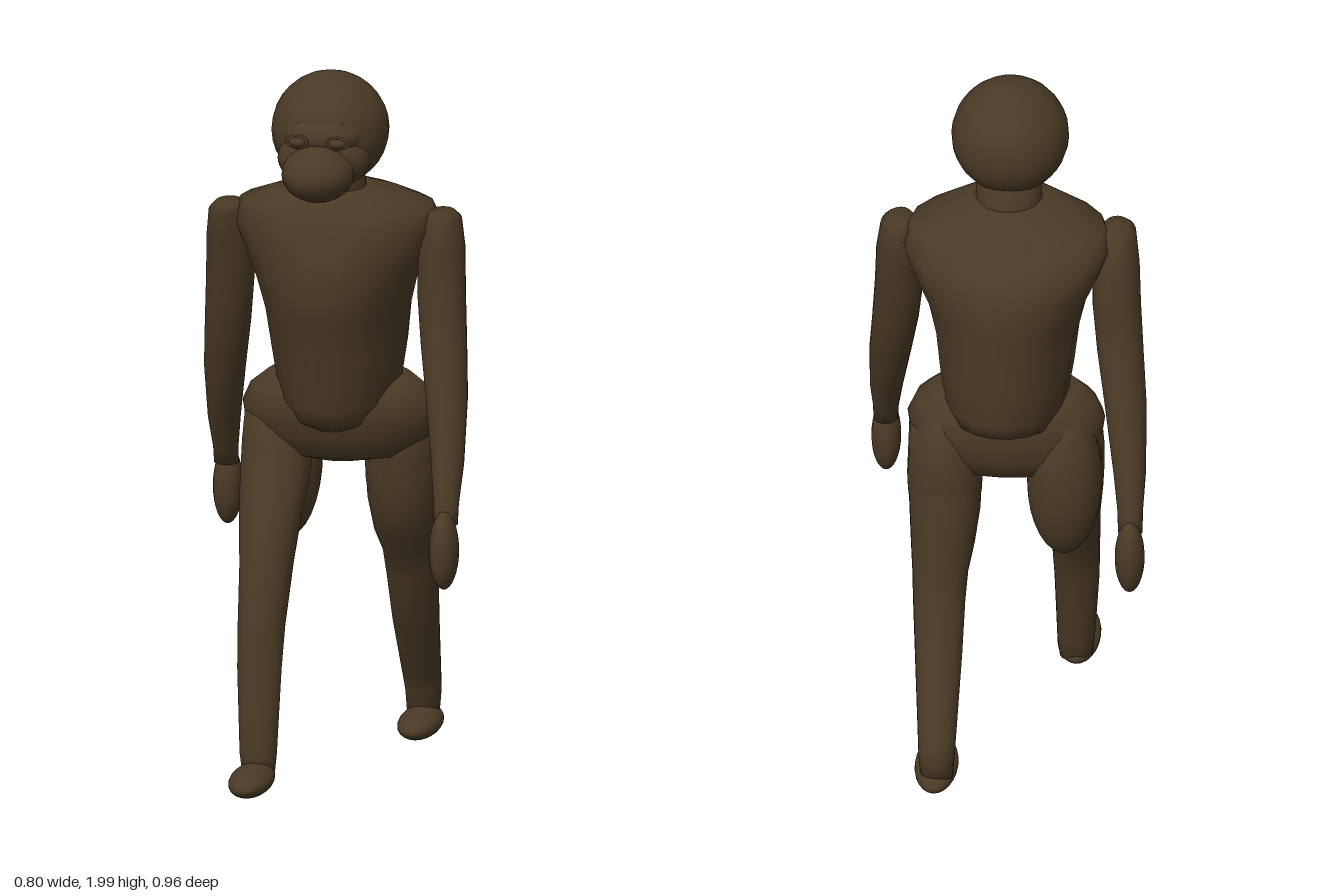
import * as THREE from 'three';

const fur = new THREE.MeshStandardMaterial({ color: 0x4a3a25 });
fur.name = 'dark brown fur';

// Closed body of elliptical sections [y, xc, rx, zc, rz], listed bottom to top.
// tilt lowers the front of a section: optional sixth value.
function loft(name, sections, sides = 20) {
  const pos = [], idx = [];
  for (const [y, xc, rx, zc, rz, tilt = 0] of sections) {
    for (let j = 0; j < sides; j++) {
      const a = (j / sides) * Math.PI * 2;
      pos.push(xc + rx * Math.cos(a), y - tilt * Math.sin(a), zc + rz * Math.sin(a));
    }
  }
  const last = sections.length - 1;
  for (let i = 0; i < last; i++) {
    for (let j = 0; j < sides; j++) {
      const a = i * sides + j, b = i * sides + ((j + 1) % sides);
      idx.push(a, a + sides, b, b, a + sides, b + sides);
    }
  }
  // end caps
  const bottom = pos.length / 3, top = bottom + 1;
  for (const s of [sections[0], sections[last]]) pos.push(s[1], s[0], s[3]);
  for (let j = 0; j < sides; j++) {
    const k = (j + 1) % sides;
    idx.push(bottom, j, k, top, last * sides + k, last * sides + j);
  }
  const g = new THREE.BufferGeometry();
  g.setAttribute('position', new THREE.Float32BufferAttribute(pos, 3));
  g.setIndex(idx);
  g.computeVertexNormals();
  const m = new THREE.Mesh(g, fur);
  m.name = name;
  return m;
}

function blob(name, [x, y, z], [rx, ry, rz], tiltX = 0) {
  const m = new THREE.Mesh(new THREE.SphereGeometry(1, 24, 16), fur);
  m.name = name;
  m.position.set(x, y, z);
  m.scale.set(rx, ry, rz);
  m.rotation.x = tiltX;
  return m;
}

export function createModel() {
  const model = new THREE.Group();
  model.name = 'walkingApe';

  // Torso: straight back, tapering belly, broad shoulders
  model.add(loft('torso', [
    [1.0, 0, 0.1, -0.06, 0.14, 0.03],
    [1.03, 0, 0.15, -0.07, 0.2, 0.035],
    [1.08, 0, 0.168, -0.065, 0.222, 0.03],
    [1.2, 0, 0.187, -0.055, 0.235],
    [1.31, 0, 0.2, -0.038, 0.252],
    [1.4, 0, 0.222, -0.025, 0.265],
    [1.49, 0, 0.262, -0.035, 0.252],
    [1.56, 0, 0.29, -0.025, 0.225],
    [1.61, 0, 0.27, -0.015, 0.19],
    [1.64, 0, 0.19, 0, 0.165],
    [1.67, 0, 0.11, 0.03, 0.11],
  ], 18));

  // Pelvis with rounded hips
  model.add(loft('pelvis', [
    [0.87, 0, 0.08, -0.07, 0.07],
    [0.89, 0, 0.2, -0.07, 0.12],
    [0.95, 0, 0.262, -0.065, 0.15],
    [1.02, 0, 0.272, -0.06, 0.165],
    [1.07, 0, 0.25, -0.06, 0.155],
    [1.11, 0, 0.2, -0.06, 0.13],
  ], 24));

  // Head
  model.add(loft('neck', [
    [1.58, 0, 0.11, 0.02, 0.11],
    [1.68, 0, 0.09, 0.04, 0.092],
    [1.78, 0, 0.09, 0.05, 0.09],
  ]));
  model.add(blob('skull', [0, 1.84, 0.08], [0.162, 0.16, 0.17]));
  model.add(blob('jaw', [0, 1.785, 0.16], [0.13, 0.09, 0.14], 0.15));
  model.add(blob('muzzle', [0, 1.758, 0.26], [0.1, 0.078, 0.11]));
  model.add(blob('brow', [0, 1.85, 0.19], [0.11, 0.06, 0.075]));

  for (const s of [1, -1]) {
    const side = s > 0 ? 'left' : 'right';

    // Eye with rounded lid rim
    model.add(blob(side + 'Eye', [s * 0.056, 1.848, 0.268], [0.026, 0.016, 0.02]));
    const rim = new THREE.Mesh(new THREE.TorusGeometry(0.026, 0.006, 8, 20), fur);
    rim.name = side + 'EyeRim';
    rim.scale.y = 0.65;
    rim.position.set(s * 0.056, 1.848, 0.272);
    model.add(rim);

    // Arm: the left swings forward, the right swings back
    model.add(loft(side + 'Arm', [
      [0.78, s * 0.357, 0.034, s * 0.262, 0.036],
      [0.83, s * 0.355, 0.035, s * 0.242, 0.036],
      [0.93, s * 0.35, 0.045, s * 0.195, 0.055],
      [1.1, s * 0.333, 0.058, s * 0.118, 0.064],
      [1.24, s * 0.315, 0.064, s * 0.068, 0.068],
      [1.38, s * 0.302, 0.067, s * 0.035, 0.072],
      [1.5, s * 0.3, 0.064, s * 0.018, 0.078],
      [1.58, s * 0.302, 0.05, 0.01, 0.076],
      [1.6, s * 0.298, 0.036, 0.01, 0.05],
    ]));
    model.add(blob(side + 'Hand', [s * 0.357, 0.71, s * 0.284], [0.041, 0.11, 0.054]));

    // Heavy hanging haunch
    model.add(blob(side + 'Haunch', [s * 0.165, 0.85, -0.115], [0.104, 0.235, 0.115]));

    // Foot
    model.add(blob(side + 'Foot', [s * 0.17, 0.045, s > 0 ? -0.344 : 0.341], [0.06, 0.038, 0.138]));
  }

  // Trailing left leg
  model.add(loft('leftLeg', [
    [0.05, 0.165, 0.045, -0.41, 0.04],
    [0.12, 0.165, 0.05, -0.412, 0.054],
    [0.17, 0.166, 0.053, -0.385, 0.058],
    [0.36, 0.17, 0.065, -0.277, 0.066],
    [0.5, 0.173, 0.072, -0.215, 0.068],
    [0.58, 0.172, 0.077, -0.19, 0.075],
    [0.65, 0.168, 0.088, -0.15, 0.105],
    [0.75, 0.164, 0.098, -0.125, 0.118],
    [0.88, 0.165, 0.103, -0.11, 0.114],
    [1.0, 0.165, 0.1, -0.09, 0.1],
  ]));

  // Leading right leg
  model.add(loft('rightLeg', [
    [0.04, -0.168, 0.045, 0.25, 0.04],
    [0.1, -0.168, 0.052, 0.255, 0.046],
    [0.33, -0.174, 0.062, 0.207, 0.054],
    [0.44, -0.174, 0.066, 0.178, 0.066],
    [0.6, -0.172, 0.074, 0.115, 0.095],
    [0.72, -0.172, 0.086, 0.06, 0.1],
    [0.82, -0.169, 0.096, 0.012, 0.102],
    [0.92, -0.167, 0.102, -0.04, 0.105],
    [1.02, -0.165, 0.098, -0.06, 0.1],
  ]));

  return model;
}
